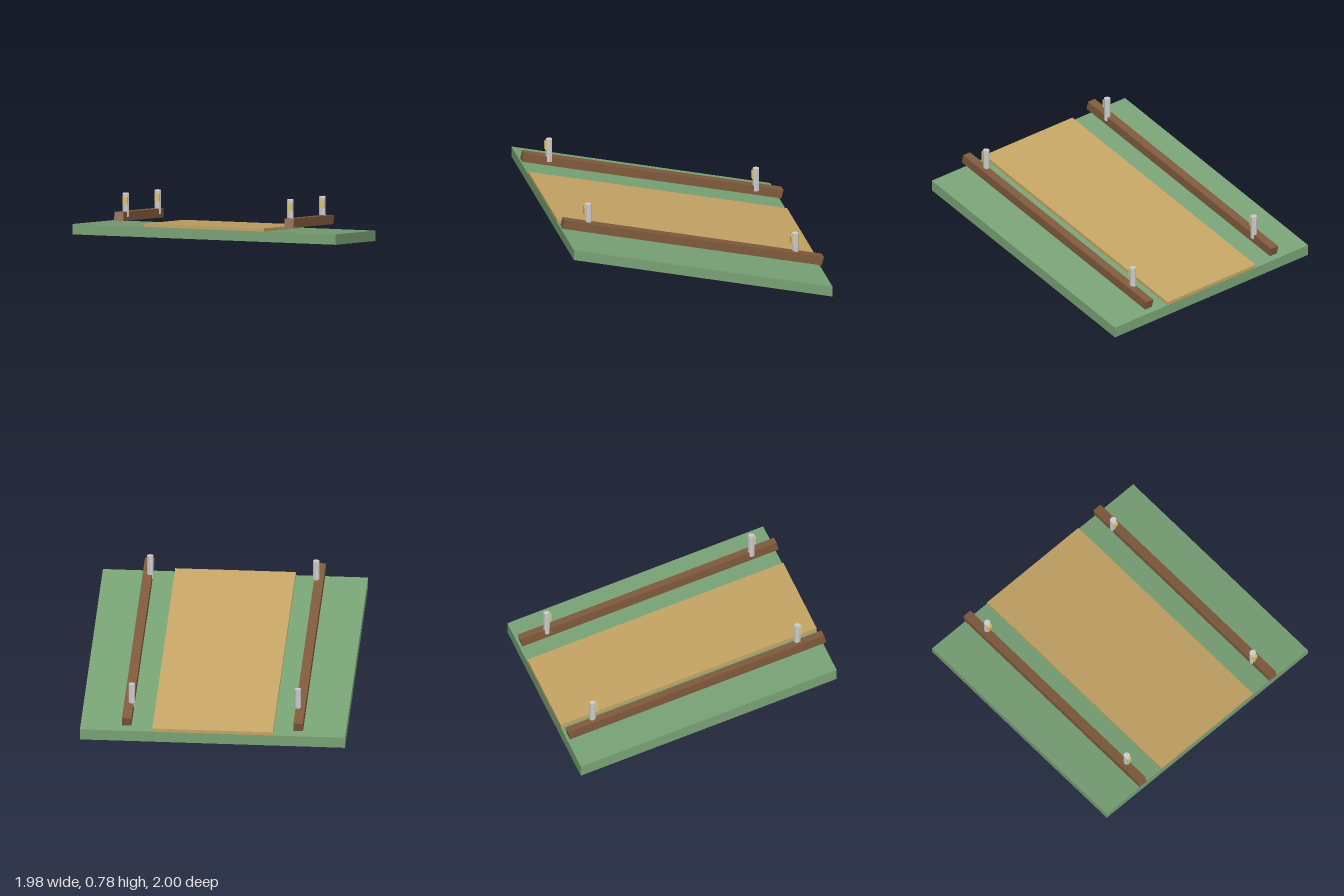
import * as THREE from 'three';

const mat = (color) => new THREE.MeshStandardMaterial({ color, flatShading: true });
const SLOPE = 0.2525;

// Box with vertical ends whose height follows the slope along z
function slopedSlab(name, width, thickness, bottomY, material) {
  const geo = new THREE.BoxGeometry(width, thickness, 1.98);
  const p = geo.attributes.position;
  for (let i = 0; i < p.count; i++) {
    p.setY(i, p.getY(i) + thickness / 2 + bottomY + p.getZ(i) * SLOPE);
  }
  geo.computeVertexNormals();
  const mesh = new THREE.Mesh(geo, material);
  mesh.name = name;
  return mesh;
}

export function createModel() {
  const model = new THREE.Group();
  model.name = 'slopedPath';
  const wood = mat(0x7f5a3c);
  const metal = mat(0xcccccc);
  const glow = mat(0xd8c468);

  // Grassy slope with the path laid on it
  model.add(slopedSlab('grassSlope', 1.98, 0.08, 0.25, mat(0x78a175)));
  model.add(slopedSlab('path', 0.9, 0.025, 0.33, mat(0xc4a464)));

  for (const side of [-1, 1]) {
    // Rail beam tilted along the slope
    const rail = new THREE.Mesh(new THREE.BoxGeometry(0.07, 0.067, 2.045), wood);
    rail.name = 'railBeam';
    rail.position.set(side * 0.64, 0.4025, 0);
    rail.rotation.x = -Math.atan(SLOPE);
    model.add(rail);

    // Upright lamp posts, each with a light panel facing the front
    for (const end of [-1, 1]) {
      const lamp = new THREE.Group();
      lamp.name = 'lampPost';
      const post = new THREE.Mesh(new THREE.CylinderGeometry(0.025, 0.025, 0.18, 8), metal);
      post.name = 'post';
      const panel = new THREE.Mesh(new THREE.BoxGeometry(0.034, 0.06, 0.016), glow);
      panel.name = 'lightPanel';
      panel.position.set(0, 0.04, 0.025);
      lamp.add(post, panel);
      lamp.position.set(side * 0.62, 0.49 + end * 0.2, end * 0.792);
      model.add(lamp);
    }
  }
  return model;
}
